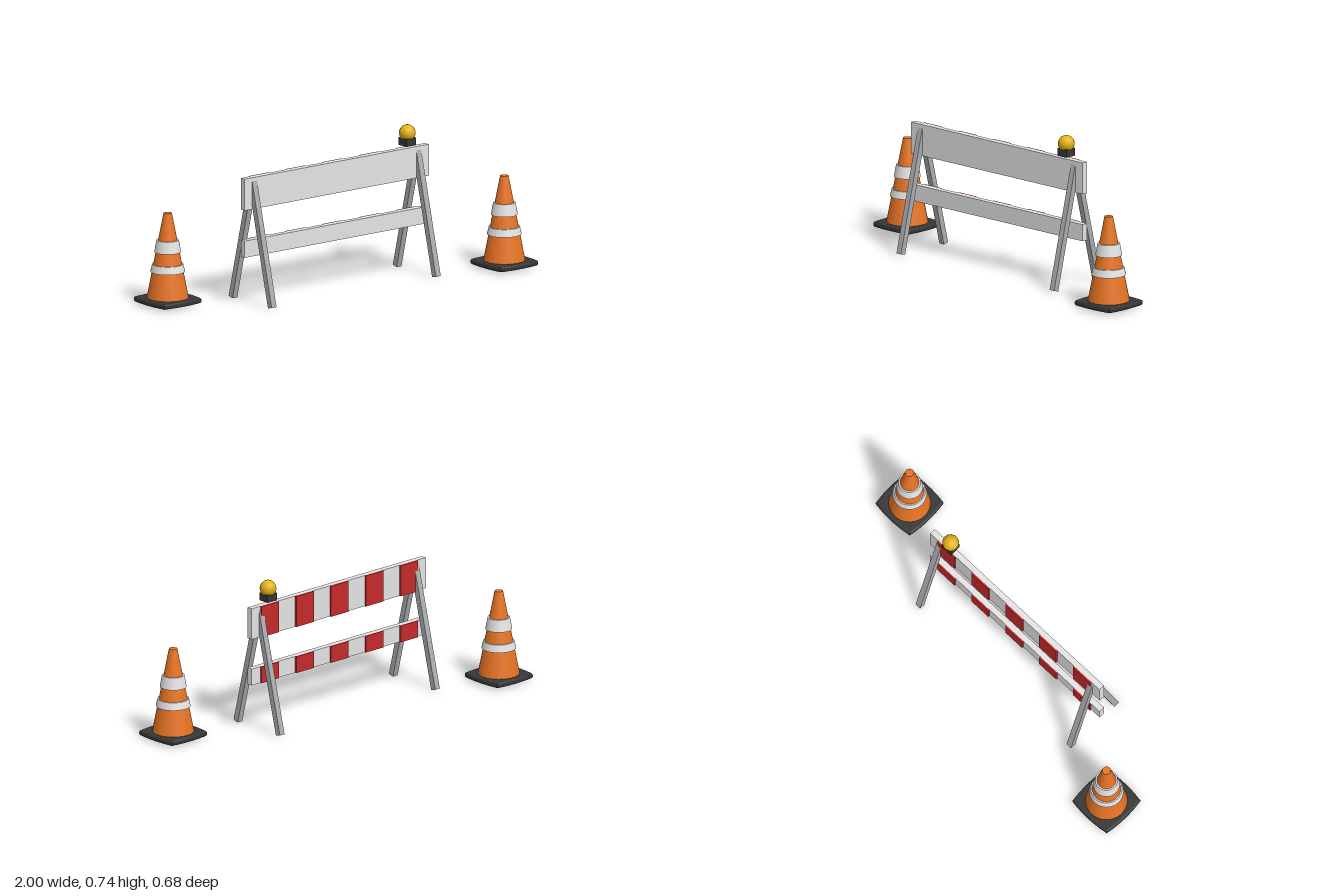
import * as THREE from 'three';

const mat = (name, color) => {
  const m = new THREE.MeshStandardMaterial({ color });
  m.name = name;
  return m;
};

export function createModel() {
  const orange = mat('orange', 0xe87424);
  const white = mat('white', 0xe4e4e4);
  const red = mat('red', 0xc62a2a);
  const metal = mat('grey metal', 0xaaacb1);
  const black = mat('black rubber', 0x363636);
  const amber = mat('amber', 0xeab414);

  const model = new THREE.Group();
  model.name = 'roadBarrierSet';

  const add = (parent, name, geometry, material, x = 0, y = 0, z = 0) => {
    const mesh = new THREE.Mesh(geometry, material);
    mesh.name = name;
    mesh.position.set(x, y, z);
    parent.add(mesh);
    return mesh;
  };

  // Barrier: two boards with red stripes on the back face
  const barrier = new THREE.Group();
  barrier.name = 'barrier';
  model.add(barrier);
  const midX = -0.032, midZ = 0.03, boardLength = 1.145;
  const boards = [['topBoard', 0.47, 0.626], ['lowerBoard', 0.236, 0.319]];
  for (const [name, y0, y1] of boards) {
    const h = y1 - y0, y = (y0 + y1) / 2;
    add(barrier, name, new THREE.BoxGeometry(boardLength, h, 0.03), white, midX, y, midZ);
    for (let i = -2; i <= 2; i++) {
      const x = midX + i * boardLength / 5;
      add(barrier, name + 'Stripe', new THREE.BoxGeometry(boardLength / 10, h, 0.008), red, x, y, 0.011);
    }
  }

  // Splayed A-frame legs
  const legRise = 0.602, legSpread = 0.15;
  const legGeometry = new THREE.BoxGeometry(0.03, Math.hypot(legRise, legSpread), 0.03);
  for (const x of [-0.543, 0.478]) {
    for (const side of [1, -1]) {
      const leg = add(barrier, side > 0 ? 'frontLeg' : 'backLeg', legGeometry, metal,
        x, 0.004 + legRise / 2, midZ + side * legSpread / 2);
      leg.rotation.x = -side * Math.atan2(legSpread, legRise);
    }
  }

  // Warning lamp
  add(barrier, 'lampBase', new THREE.BoxGeometry(0.06, 0.038, 0.06), black, 0.418, 0.657, 0.031);
  add(barrier, 'lampGlobe', new THREE.SphereGeometry(0.041, 14, 10), amber, 0.418, 0.699, 0.031);

  // Rubber foot with slightly bowed sides and rounded rim
  const c = 0.108, bow = 0.126, bevel = 0.011;
  const outline = new THREE.Shape();
  outline.moveTo(-c, -c);
  outline.quadraticCurveTo(0, -bow, c, -c);
  outline.quadraticCurveTo(bow, 0, c, c);
  outline.quadraticCurveTo(0, bow, -c, c);
  outline.quadraticCurveTo(-bow, 0, -c, -c);
  const footGeometry = new THREE.ExtrudeGeometry(outline, {
    depth: 0.005, bevelEnabled: true, bevelThickness: bevel, bevelSize: bevel - 0.002,
    bevelSegments: 4, curveSegments: 8,
  });
  footGeometry.rotateX(-Math.PI / 2);

  // Traffic cones
  const frustum = (r1, r0, y0, y1) =>
    new THREE.CylinderGeometry(r1, r0, y1 - y0, 32).translate(0, (y0 + y1) / 2, 0);
  for (const side of [-1, 1]) {
    const cone = new THREE.Group();
    cone.name = side > 0 ? 'leftCone' : 'rightCone';
    cone.position.set(side * 0.874, 0, side * 0.212);
    model.add(cone);
    add(cone, 'foot', footGeometry, black, 0, 0.008 + bevel, 0);
    add(cone, 'body', frustum(0.0205, 0.102, 0.03, 0.452), orange);
    add(cone, 'lowerBand', frustum(0.0755, 0.084, 0.163, 0.2), white);
    add(cone, 'upperBand', frustum(0.054, 0.065, 0.26, 0.319), white);
  }
  return model;
}
